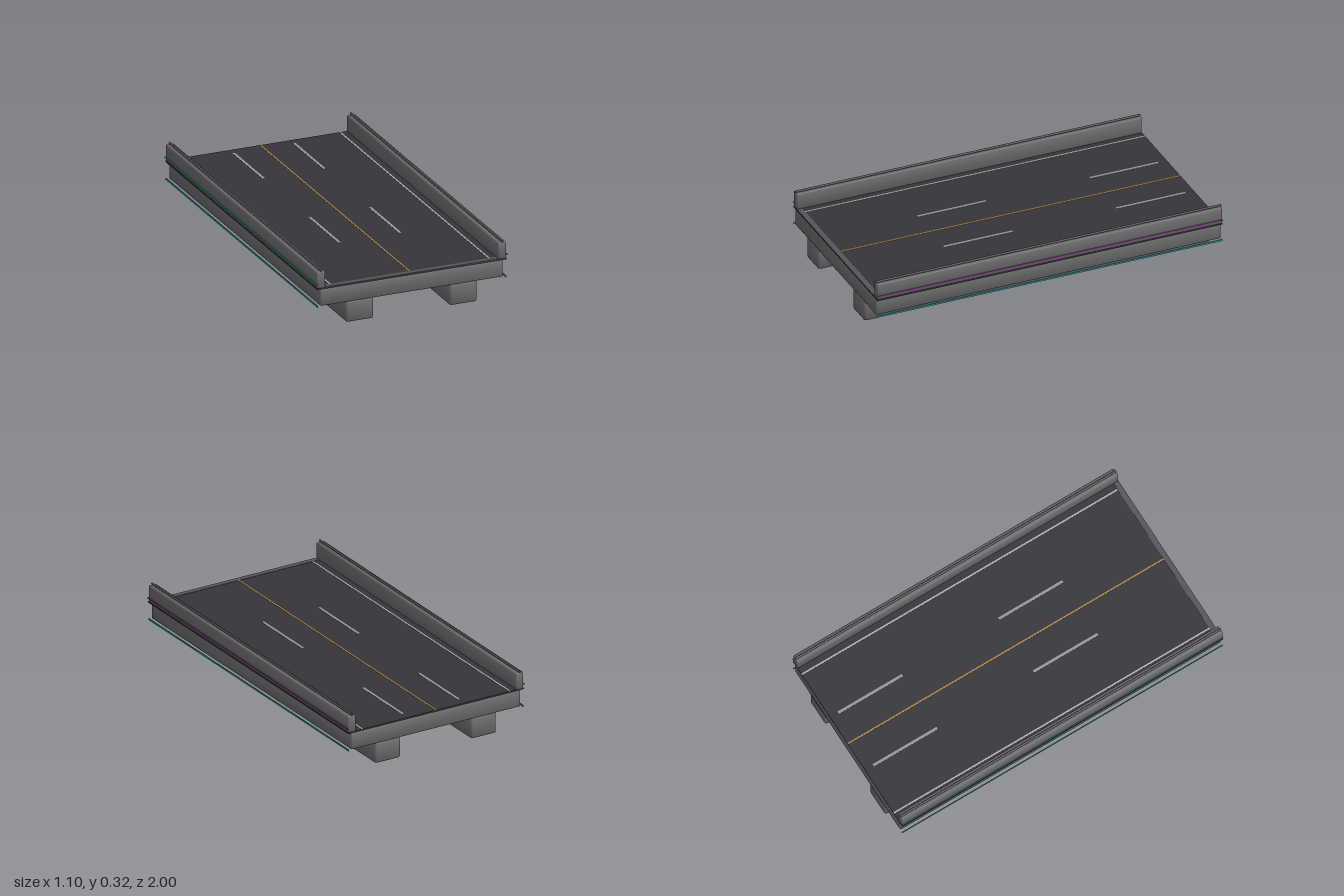
import * as THREE from 'three';
import { RoundedBoxGeometry } from 'three/addons/geometries/RoundedBoxGeometry.js';

const mat = (color) => new THREE.MeshStandardMaterial({ color });
const concrete = mat(0x6a6a6c), asphalt = mat(0x35353a), steel = mat(0x55555a);
const white = mat(0xb4b4b8), dashGrey = mat(0x9498a2), amber = mat(0xb08a45);
const teal = mat(0x2f8f8f), magenta = mat(0x7d3c85);

// Bevelled box whose normals lean outwards at the corners, for soft shading
function softBox(w, h, d, r) {
  const g = new RoundedBoxGeometry(w, h, d, 1, r);
  const p = g.attributes.position, n = g.attributes.normal, v = new THREE.Vector3();
  for (let i = 0; i < p.count; i++) {
    v.fromBufferAttribute(n, i);
    v.x += 0.4 * Math.sign(p.getX(i));
    v.y += 0.4 * Math.sign(p.getY(i));
    v.z += 0.4 * Math.sign(p.getZ(i));
    v.normalize();
    n.setXYZ(i, v.x, v.y, v.z);
  }
  return g;
}

export function createModel() {
  const root = new THREE.Group();
  root.name = 'bridgeSection';
  const add = (name, geometry, material, x, y, z = 0) => {
    const m = new THREE.Mesh(geometry, material);
    m.name = name;
    m.position.set(x, y, z);
    root.add(m);
    return m;
  };
  const box = (w, h, d) => new THREE.BoxGeometry(w, h, d);

  // Deck and road surface
  add('deck', softBox(1.056, 0.096, 2, 0.008), concrete, 0, 0.167);
  add('roadSurface', box(1.096, 0.008, 2), asphalt, 0, 0.22);
  add('expansionJoint', box(1.0, 0.006, 0.03), steel, 0, 0.223, 0.985);

  // Road markings
  add('centreLine', box(0.008, 0.002, 1.97), amber, 0, 0.2245, -0.015);
  for (const s of [-1, 1]) {
    add('edgeLine', box(0.009, 0.002, 1.97), white, s * 0.46, 0.2245, -0.015);
    for (const z of [-0.75, 0.25])
      add('laneDash', box(0.015, 0.002, 0.4), dashGrey, s * 0.175, 0.2245, z);
  }

  // Girders, barriers, handrails and light strips on both sides
  for (const s of [-1, 1]) {
    add('girder', softBox(0.157, 0.122, 2, 0.012), concrete, s * 0.299, 0.063);
    add('barrier', softBox(0.047, 0.096, 2, 0.007), concrete, s * 0.5235, 0.268);
    const rail = add('handrail', new THREE.CylinderGeometry(0.006, 0.006, 2, 10), steel, s * 0.5235, 0.321);
    rail.rotation.x = Math.PI / 2;
    add('upperLightStrip', box(0.004, 0.008, 2), s > 0 ? magenta : teal, s * 0.55, 0.243);
    add('lowerLightStrip', box(0.004, 0.01, 2), teal, s * 0.544, 0.119);
  }
  return root;
}
